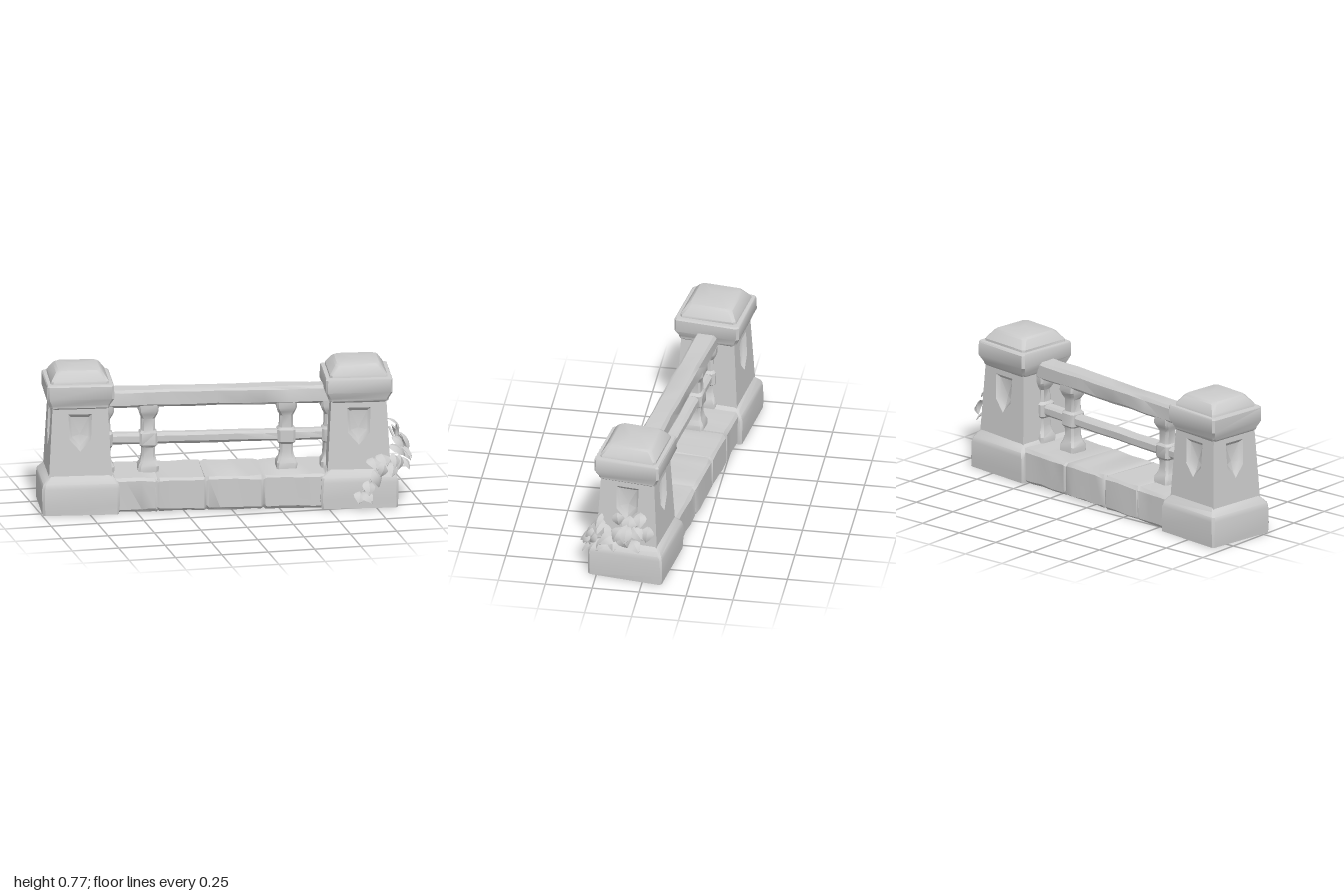
import * as THREE from 'three';
import { toCreasedNormals } from 'three/addons/utils/BufferGeometryUtils.js';

const stone = new THREE.MeshStandardMaterial({ color: 0xcccccc, side: THREE.DoubleSide });
stone.name = 'pale stone';

let seed = 7;
const rand = () => ((seed = (seed * 16807) % 2147483647) / 2147483647) * 2 - 1;

function part(name, geometry, parent) {
  const mesh = new THREE.Mesh(geometry, stone);
  mesh.name = name;
  parent.add(mesh);
  return mesh;
}

function fromTriangles(points, index) {
  const g = new THREE.BufferGeometry();
  g.setAttribute('position', new THREE.Float32BufferAttribute(points.flat(), 3));
  g.setIndex(index);
  g.computeVertexNormals();
  return toCreasedNormals(g, 0.6);
}

// Stack of chamfered rectangles; each level is [y, halfX, halfZ, chamfer]
function loft(levels, wobble = 0) {
  const points = [], index = [];
  for (const [y, hx, hz = hx, c = 0.012] of levels) {
    const ring = [[hx, hz - c], [hx, c - hz], [hx - c, -hz], [c - hx, -hz],
      [-hx, c - hz], [-hx, hz - c], [c - hx, hz], [hx - c, hz]];
    for (const [x, z] of ring) points.push([x + rand() * wobble, y, z + rand() * wobble]);
  }
  for (let l = 0; l < levels.length - 1; l++) {
    for (let i = 0; i < 8; i++) {
      const a = l * 8 + i, b = l * 8 + (i + 1) % 8;
      index.push(a, b, b + 8, a, b + 8, a + 8);
    }
  }
  const top = (levels.length - 1) * 8;
  for (let i = 1; i < 7; i++) index.push(0, i + 1, i, top, top + i, top + i + 1);
  return fromTriangles(points, index);
}

// Tapered shaft side facing +z, with an optional carved shield recess
const shaftHalf = y => THREE.MathUtils.mapLinear(y, 0.18, 0.57, 0.167, 0.146);

function shaftSide(parent, angle, carved) {
  const w0 = shaftHalf(0.18), w1 = shaftHalf(0.57);
  const shape = new THREE.Shape([[-w0, 0.18], [w0, 0.18], [w1, 0.57], [-w1, 0.57]].map(p => new THREE.Vector2(...p)));
  const outline = [[-0.062, 0.535], [-0.057, 0.4], [0, 0.335], [0.057, 0.4], [0.062, 0.535]];
  if (carved) shape.holes.push(new THREE.Path(outline.map(p => new THREE.Vector2(...p))));
  const face = new THREE.ShapeGeometry(shape);
  const pos = face.attributes.position;
  for (let i = 0; i < pos.count; i++) pos.setZ(i, shaftHalf(pos.getY(i)));
  face.computeVertexNormals();
  part('shaftSide', face, parent).rotation.y = angle;
  if (!carved) return;

  const n = outline.length, points = [], index = [];
  for (const [x, y] of outline) points.push([x, y, shaftHalf(y)]);
  for (const [x, y] of outline) {
    const iy = 0.45 + (y - 0.45) * 0.78;
    points.push([x * 0.75, iy, shaftHalf(iy) - 0.018]);
  }
  points.push([0, 0.42, shaftHalf(0.42) - 0.034]);
  for (let i = 0; i < n; i++) {
    const j = (i + 1) % n;
    index.push(i, j, n + j, i, n + j, n + i, n + i, n + j, 2 * n);
  }
  part('carvedShield', fromTriangles(points, index), parent).rotation.y = angle;
}

function pillar(name, x, innerSide) {
  const g = new THREE.Group();
  g.name = name;
  g.position.x = x;
  part('pillarBase', loft([[0, 0.203], [0.05, 0.205], [0.14, 0.203], [0.165, 0.197], [0.187, 0.18], [0.205, 0.164]], 0.003), g);
  for (let i = 0; i < 4; i++) shaftSide(g, i * Math.PI / 2, i !== innerSide);
  part('pillarCap', loft([[0.562, 0.145], [0.572, 0.156], [0.585, 0.159], [0.622, 0.177], [0.69, 0.177], [0.698, 0.171], [0.7, 0.15]], 0.002), g);
  part('pillarCrown', loft([[0.695, 0.153], [0.712, 0.151], [0.755, 0.122, 0.122, 0.018], [0.765, 0.11, 0.11, 0.02], [0.769, 0.03]], 0.002), g);
  return g;
}

// Horizontal worn beam along x, with grooves at the seams
function beam(name, length, y, halfY, halfZ, steps, wobble, seams, parent) {
  const levels = [];
  for (let i = 0; i <= steps; i++) levels.push([(i / steps - 0.5) * length, halfY, halfZ, 0.014]);
  for (const s of seams) {
    levels.push([s - 0.012, halfY, halfZ, 0.016], [s, halfY - 0.005, halfZ - 0.007, 0.02], [s + 0.012, halfY, halfZ, 0.016]);
  }
  levels.sort((a, b) => a[0] - b[0]);
  const g = loft(levels, wobble);
  g.rotateZ(-Math.PI / 2);
  part(name, g, parent).position.y = y;
}

// Leaf along +y, folded at the midrib and curling backward
function leafGeometry() {
  const widths = [0.006, 0.032, 0.043, 0.036, 0.02, 0.001], points = [], index = [];
  widths.forEach((w, i) => {
    const t = i / 5, y = (t - 0.5) * 0.105, bend = -0.07 * (t - 0.4) ** 2;
    points.push([-w, y, bend - w * 0.2], [0, y, bend + 0.006], [w, y, bend - w * 0.2]);
    if (i === 5) return;
    for (let k = 0; k < 2; k++) {
      const a = i * 3 + k;
      index.push(a, a + 1, a + 4, a, a + 4, a + 3);
    }
  });
  return fromTriangles(points, index);
}

function ivy() {
  const g = new THREE.Group();
  g.name = 'ivy';
  const spots = [
    // across the front of the pillar
    [0.65, 0.08, 0.32], [0.69, 0.08, 0.325], [0.7, 0.13, 0.325], [0.75, 0.17, 0.31], [0.78, 0.21, 0.3],
    [0.74, 0.25, 0.27], [0.79, 0.27, 0.27], [0.83, 0.22, 0.31], [0.85, 0.26, 0.29],
    // around the corner
    [0.88, 0.24, 0.27], [0.87, 0.31, 0.24], [0.88, 0.35, 0.24], [0.9, 0.29, 0.2], [0.92, 0.23, 0.22],
    // up the side
    [0.9, 0.37, 0.13], [0.91, 0.35, 0.07], [0.91, 0.39, 0.01], [0.95, 0.31, 0.13], [0.94, 0.32, 0.02],
    [0.93, 0.31, -0.03], [0.95, 0.25, 0.03], [0.95, 0.27, 0.09], [0.94, 0.25, 0.15], [0.94, 0.28, 0.18], [0.95, 0.32, 0.08],
  ];
  const leaf = leafGeometry();
  for (const [x, y, z] of spots) {
    const out = new THREE.Vector3(x - 0.69, 0, z - 0.07).normalize();
    const tip = out.clone().multiplyScalar(0.6).add(new THREE.Vector3(rand() * 0.6, -0.6 + rand() * 0.25, rand() * 0.6)).normalize();
    const normal = out.clone().multiplyScalar(0.8).add(new THREE.Vector3(rand() * 0.2, 0.7, rand() * 0.2));
    const side = tip.clone().cross(normal).normalize();
    normal.crossVectors(side, tip);
    const mesh = part('ivyLeaf', leaf, g);
    mesh.quaternion.setFromRotationMatrix(new THREE.Matrix4().makeBasis(side, tip, normal));
    mesh.position.set(x, y, z);
    mesh.scale.setScalar(0.88 + rand() * 0.12);
  }
  const path = new THREE.CatmullRomCurve3([[0.67, 0.1, 0.3], [0.77, 0.2, 0.27], [0.87, 0.24, 0.25], [0.9, 0.28, 0.12], [0.88, 0.36, 0]]
    .map(p => new THREE.Vector3(...p)));
  part('ivyStem', new THREE.TubeGeometry(path, 24, 0.006, 6), g);
  return g;
}

export function createModel() {
  const model = new THREE.Group();
  model.name = 'stoneBalustrade';
  const wall = new THREE.Group();
  wall.name = 'wall';
  wall.position.set(-0.0425, 0, -0.027);
  wall.rotation.y = -0.131;
  model.add(wall);

  wall.add(pillar('rightPillar', -0.736, 1), pillar('leftPillar', 0.736, 3));
  beam('plinth', 1.16, 0.0935, 0.091, 0.181, 14, 0.0035, [-0.33, -0.07, 0.23], wall);
  beam('topRail', 1.24, 0.585, 0.047, 0.056, 10, 0.003, [], wall);
  beam('middleRail', 1.22, 0.36, 0.03, 0.032, 10, 0.002, [], wall);

  // Two free balusters and two half sunk into the pillars
  for (const x of [-0.6, -0.365, 0.365, 0.6]) {
    const profile = [[0.175, 0.054], [0.215, 0.054], [0.24, 0.042], [0.27, 0.035], [0.315, 0.036], [0.328, 0.047],
      [0.392, 0.047], [0.405, 0.036], [0.47, 0.034], [0.495, 0.046], [0.515, 0.054], [0.55, 0.054]];
    part('baluster', loft(profile, 0.002), wall).position.x = x;
  }
  model.add(ivy());
  return model;
}
